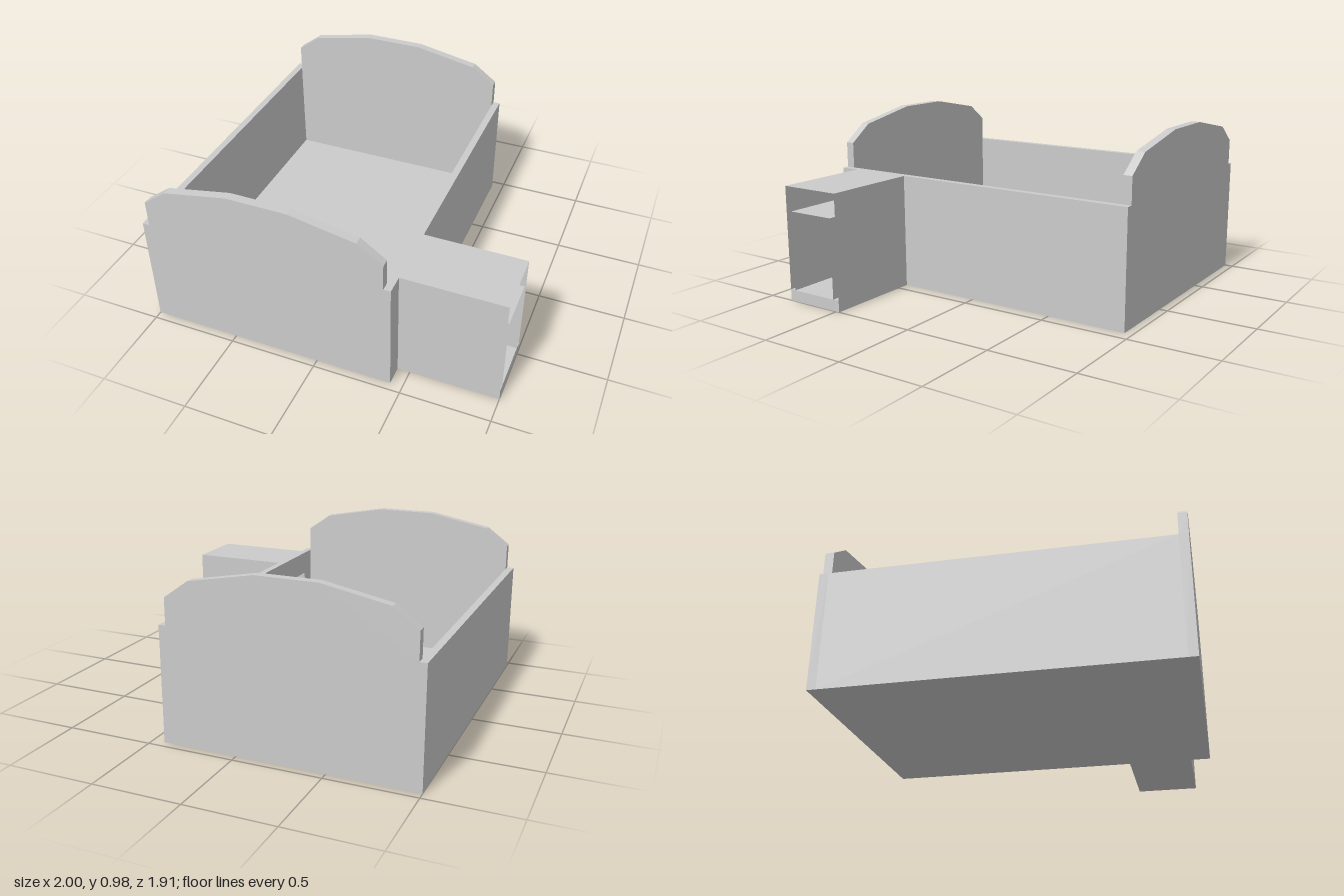
import * as THREE from 'three';

const grey = new THREE.MeshStandardMaterial({ color: 0xcccccc, flatShading: true });
const thin = new THREE.MeshStandardMaterial({ color: 0xcccccc, flatShading: true, side: THREE.DoubleSide });

// Main dimensions
const X0 = -1, X1 = 0.43, Z = 0.955, WALL = 0.66, FLOOR = 0.065;
const SIDE_T = 0.04, END_T = 0.05;
const PORCH_X = 1, PORCH_Z0 = 0.48, PORCH_Z1 = 0.845;
const DOOR_Z0 = 0.52, DOOR_Z1 = 0.81, DOOR_TOP = 0.52;

export function createModel() {
  const group = new THREE.Group();
  const add = (name, geometry, material = grey) => {
    const mesh = new THREE.Mesh(geometry, material);
    mesh.name = name;
    group.add(mesh);
    return mesh;
  };
  const box = (name, x0, x1, y0, y1, z0, z1) =>
    add(name, new THREE.BoxGeometry(x1 - x0, y1 - y0, z1 - z0))
      .position.set((x0 + x1) / 2, (y0 + y1) / 2, (z0 + z1) / 2);
  const points = (list) => list.map(([x, y]) => new THREE.Vector2(x, y));
  const extrude = (shape, depth) => new THREE.ExtrudeGeometry(shape, { depth, bevelEnabled: false });

  // Floor slabs of the room and the entrance passage
  box('roomFloor', X0 + SIDE_T, X1 - SIDE_T, 0, FLOOR, -Z + END_T, Z - END_T);
  box('passageFloor', X1, PORCH_X, 0, FLOOR, PORCH_Z0, PORCH_Z1);

  // Arched end walls, stepped in at the eaves
  const gable = new THREE.Shape(points([
    [X0, 0], [X1, 0], [X1, WALL], [0.39, WALL], [0.39, 0.81], [0.25, 0.91], [-0.12, 0.98],
    [-0.46, 0.98], [-0.825, 0.91], [-0.96, 0.81], [-0.96, WALL], [X0, WALL],
  ]));
  add('frontWall', extrude(gable, END_T)).position.z = Z - END_T;
  add('backWall', extrude(gable, END_T)).position.z = -Z;

  // Plain side wall, and the side wall with the doorway
  const inner = Z - END_T;
  box('rightWall', X0, X0 + SIDE_T, 0, WALL, -inner, inner);
  const doorWall = new THREE.Shape(points([[-inner, 0], [inner, 0], [inner, WALL], [-inner, WALL]]));
  doorWall.holes.push(new THREE.Path(points([
    [DOOR_Z0, FLOOR], [DOOR_Z0, DOOR_TOP], [DOOR_Z1, DOOR_TOP], [DOOR_Z1, FLOOR],
  ])));
  add('doorWall', extrude(doorWall, SIDE_T).rotateY(-Math.PI / 2)).position.x = X1;

  // Passage: an open-ended outer shell around a lower inner lining
  const length = PORCH_X - X1, midX = (X1 + PORCH_X) / 2;
  const sleeve = (name, z0, z1, y0, y1) => {
    for (const [side, z] of [['Back', z0], ['Front', z1]]) {
      add(name + side, new THREE.PlaneGeometry(length, y1 - y0), thin)
        .position.set(midX, (y0 + y1) / 2, z);
    }
    add(name + 'Top', new THREE.PlaneGeometry(length, z1 - z0).rotateX(-Math.PI / 2), thin)
      .position.set(midX, y1, (z0 + z1) / 2);
  };
  sleeve('passageShell', PORCH_Z0, PORCH_Z1, FLOOR, WALL);
  sleeve('passageLining', DOOR_Z0, DOOR_Z1, FLOOR, DOOR_TOP);

  return group;
}
